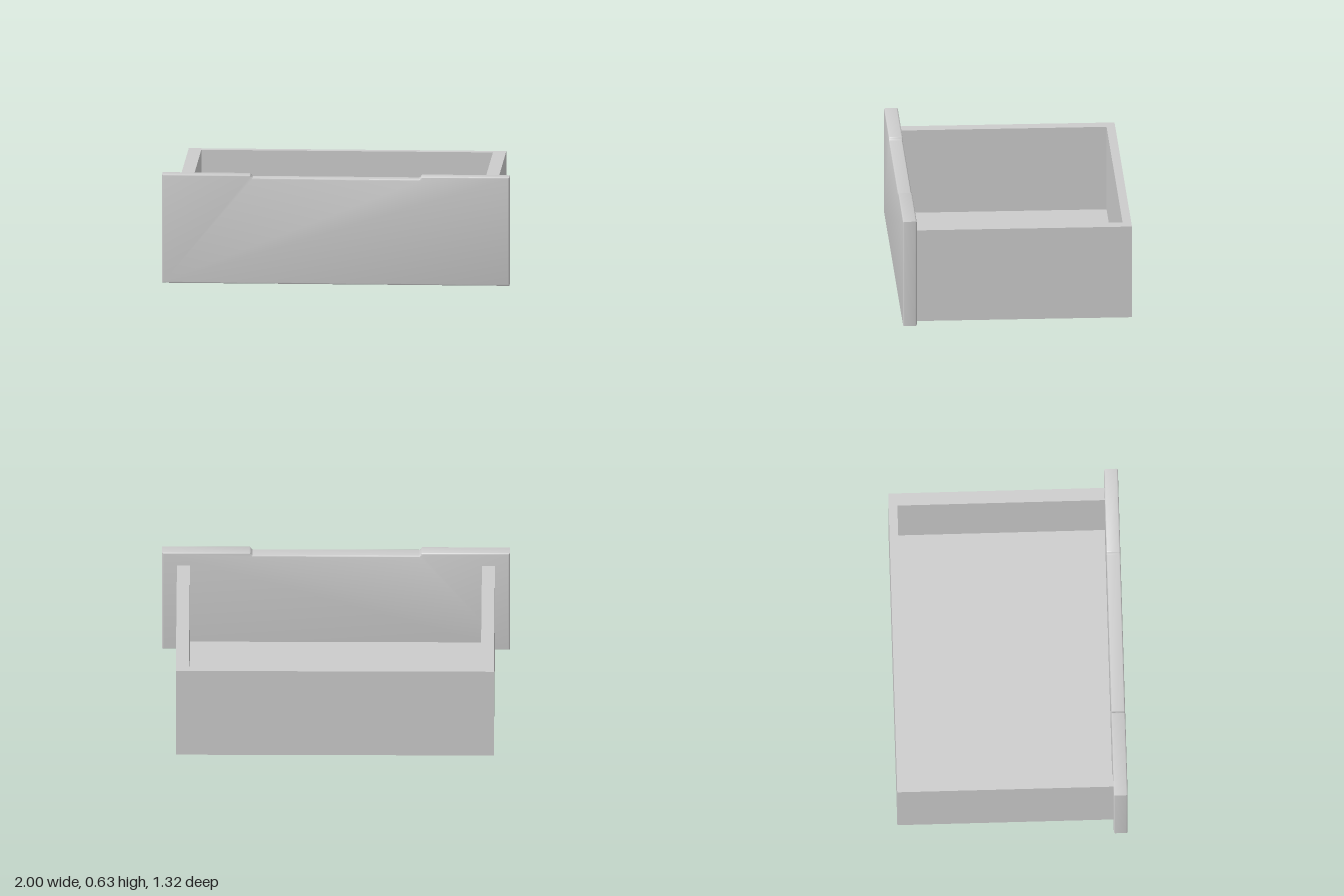
import * as THREE from 'three';
import { toCreasedNormals } from 'three/addons/utils/BufferGeometryUtils.js';

const material = new THREE.MeshStandardMaterial({ color: 0xcccccc });

// Board given by its min and max corners
function board(name, [x0, y0, z0], [x1, y1, z1]) {
  const mesh = new THREE.Mesh(new THREE.BoxGeometry(x1 - x0, y1 - y0, z1 - z0), material);
  mesh.position.set((x0 + x1) / 2, (y0 + y1) / 2, (z0 + z1) / 2);
  mesh.name = name;
  return mesh;
}

// Front panel with softened edges and a shallow finger recess along the top
function frontPanel(back, front) {
  const top = 0.635, recess = 0.618, bevel = 0.008;
  const shape = new THREE.Shape();
  shape.moveTo(-1, 0);
  shape.lineTo(1, 0);
  shape.lineTo(1, top);
  shape.lineTo(0.497, top);
  shape.quadraticCurveTo(0.49, top, 0.489, 0.626);
  shape.lineTo(0.48, recess);
  shape.lineTo(-0.48, recess);
  shape.lineTo(-0.489, 0.626);
  shape.quadraticCurveTo(-0.49, top, -0.497, top);
  shape.lineTo(-1, top);
  shape.closePath();
  const geometry = new THREE.ExtrudeGeometry(shape, {
    depth: front - back - 2 * bevel,
    bevelThickness: bevel,
    bevelSize: bevel,
    bevelOffset: -bevel,
    bevelSegments: 3,
    curveSegments: 3,
  });
  geometry.translate(0, 0, back + bevel);
  const mesh = new THREE.Mesh(toCreasedNormals(geometry, 0.6), material);
  mesh.name = 'frontPanel';
  return mesh;
}

export function createModel() {
  const group = new THREE.Group();
  group.name = 'drawer';
  const inner = 0.84, outer = 0.915, height = 0.552;
  const back = -0.662, joint = 0.582, front = 0.662, floor = 0.05;

  group.add(frontPanel(joint, front));

  // Side walls
  group.add(board('leftSide', [inner, 0, back], [outer, height, joint]));
  group.add(board('rightSide', [-outer, 0, back], [-inner, height, joint]));

  // Back wall stands on the bottom board, between the sides
  group.add(board('backWall', [-inner, floor, back], [inner, height, back + 0.05]));
  group.add(board('bottom', [-inner, 0, back], [inner, floor, joint]));
  return group;
}
